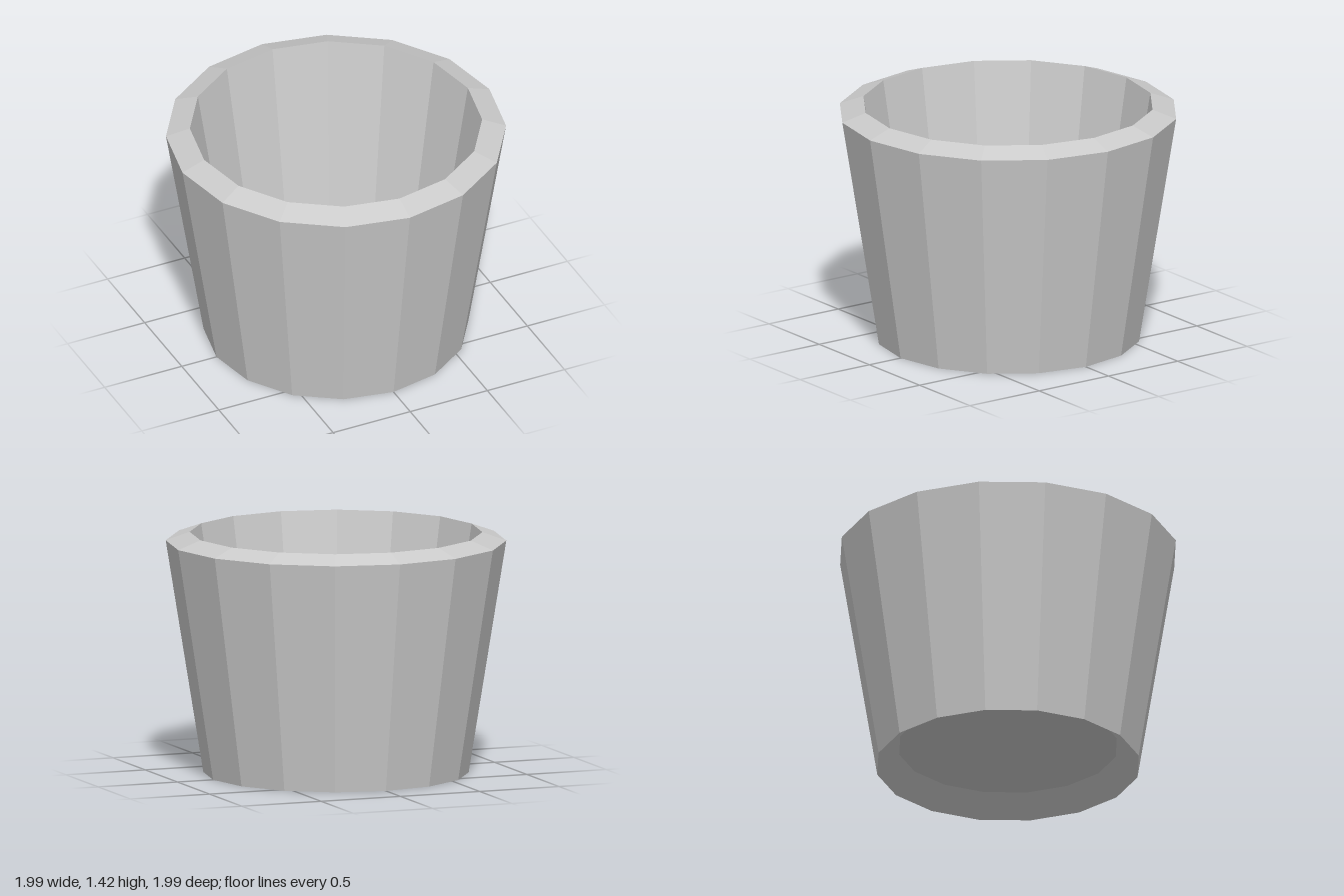
import * as THREE from 'three';

const SIDES = 16;

export function createModel() {
  const group = new THREE.Group();
  group.name = 'pot';
  const material = new THREE.MeshStandardMaterial({
    color: 0xcccccc, flatShading: true, side: THREE.DoubleSide,
  });

  // Tapered wall: slanted recess underneath, outer side, sloped rim, inner side
  const profile = [
    [0.645, 0.12], [0.775, 0], [0.995, 1.37], [0.855, 1.42], [0.645, 0.12],
  ].map(([r, y]) => new THREE.Vector2(r, y));
  const wall = new THREE.Mesh(new THREE.LatheGeometry(profile, SIDES), material);
  wall.name = 'wall';
  group.add(wall);

  // Thin floor closing the recess
  const floor = new THREE.Mesh(new THREE.CircleGeometry(0.645, SIDES), material);
  floor.name = 'floor';
  floor.rotation.x = -Math.PI / 2;
  floor.position.y = 0.12;
  group.add(floor);

  return group;
}
